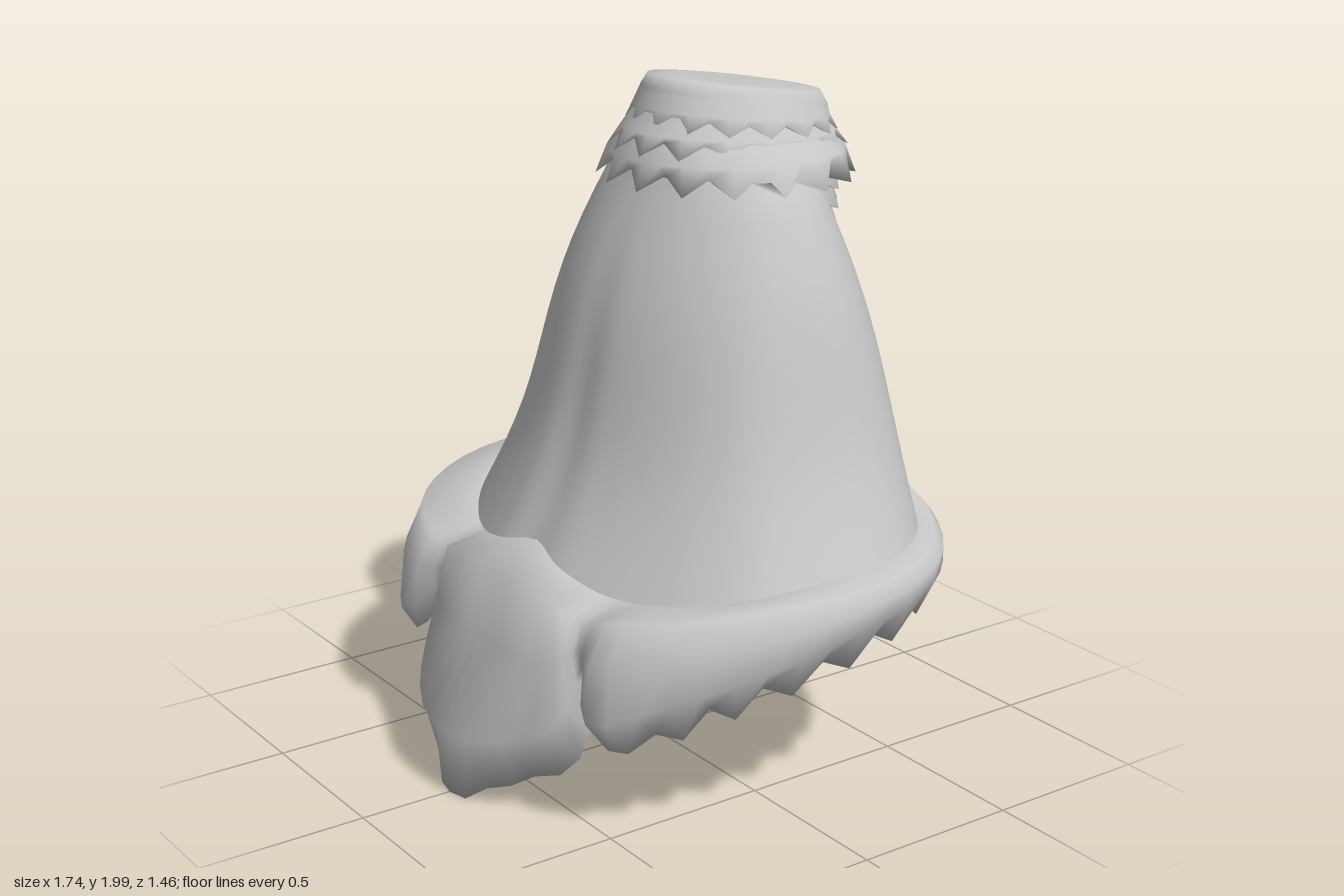
import * as THREE from 'three';

const V = (x, y, z) => new THREE.Vector3(x, y, z);

// Surface through rows of points running left to right, top row first
function grid(rows, closed) {
  const n = rows[0].length, index = [];
  for (let r = 0; r < rows.length - 1; r++) {
    for (let c = 0; c < (closed ? n : n - 1); c++) {
      const a = r * n + c, b = r * n + (c + 1) % n;
      index.push(a, a + n, b, b, a + n, b + n);
    }
  }
  const geo = new THREE.BufferGeometry().setFromPoints(rows.flat());
  geo.setIndex(index);
  geo.computeVertexNormals();
  return geo;
}

// Half outlines from front centre round the left side to the back
const CREASE = [[0, .71, .41], [.13, .68, .43], [.26, .65, .41], [.34, .64, .385], [.44, .64, .34], [.56, .66, .26],
  [.68, .69, .13], [.74, .72, -.08], [.74, .73, -.28], [.65, .74, -.45], [.51, .76, -.56], [.41, .81, -.6],
  [.28, .67, -.665], [.12, .57, -.725], [0, .55, -.73]];
const SHOULDER = [[0, .66, .56], [.15, .66, .56], [.28, .63, .54], [.36, .6, .5], [.48, .64, .5], [.65, .67, .4],
  [.78, .7, .19], [.84, .71, -.08], [.8, .72, -.31], [.69, .73, -.48], [.52, .76, -.6], [.41, .81, -.6]];
const MIDDLE = [[0, .46, .6], [.16, .46, .6], [.32, .48, .56], [.365, .52, .51], [.49, .53, .56], [.68, .56, .43],
  [.81, .62, .2], [.87, .67, -.08], [.82, .69, -.33], [.71, .71, -.5], [.52, .74, -.62], [.41, .805, -.605]];
const BELLY = [[0, .2, .73], [.16, .22, .71], [.35, .3, .59], [.365, .47, .5], [.5, .37, .58], [.68, .45, .43],
  [.81, .53, .2], [.865, .61, -.08], [.82, .64, -.33], [.71, .67, -.5], [.52, .72, -.61], [.41, .8, -.605]];
const EDGE = [[0, .005, .72], [.19, .09, .63], [.32, .17, .48], [.36, .46, .46], [.52, .285, .52], [.66, .39, .37],
  [.76, .47, .18], [.81, .54, -.08], [.77, .59, -.32], [.67, .64, -.47], [.51, .71, -.58], [.41, .8, -.6]];
const STEPS = 3;

// Mirrored smooth outline; the closed one starts at front centre
function outline(half, closed) {
  const left = half.map(p => V(...p));
  const right = left.map(p => V(-p.x, p.y, p.z)).reverse();
  const pts = closed ? [...left, ...right.slice(1, -1)] : [...right, ...left.slice(1)];
  const curve = new THREE.CatmullRomCurve3(pts, closed);
  const count = (closed ? pts.length : pts.length - 1) * STEPS;
  return Array.from({ length: closed ? count : count + 1 }, (_, i) => curve.getPoint(i / count));
}

// Flared bell from the neck down to the crease and the back flap
function bell() {
  const base = outline(CREASE, true), rows = [];
  const angle = p => Math.atan2(p.x / .75, (p.z + .14) / .59);
  const ring = (rx, rz, y) => base.map(p => V(Math.sin(angle(p)) * rx, y, -.2 + Math.cos(angle(p)) * rz));
  rows.push(ring(.26, .2, 1.82));
  const neck = ring(.37, .26, 1.7);
  for (let i = 0; i <= 14; i++) {
    const t = i / 14;
    rows.push(neck.map((p, j) => {
      const back = Math.max(0, -Math.cos(angle(base[j])));
      const bulge = .045 * back * Math.sin(Math.PI * t) + .022 * (1 - back) * Math.sin(2 * Math.PI * t);
      const out = V(p.x, 0, p.z + .2).normalize();
      return p.clone().lerp(base[j], t).addScaledVector(out, bulge);
    }));
  }
  return grid(rows, true);
}

// Thick drooping lobes with a toothed hem and an inner wall
function lip() {
  const crease = outline(CREASE.slice(0, 12)), edge = outline(EDGE), mid = (edge.length - 1) / 2;
  const wall = t => edge.map((p, j) => p.clone().lerp(crease[j], t));
  const walls = [wall(.3), wall(.65), wall(1)];
  edge.forEach((p, j) => {
    const k = Math.abs(j - mid);
    if (k % 2 && k < mid - 1) p.y -= k > 4.5 * STEPS ? .06 : .015;
  });
  return grid([crease, outline(SHOULDER), outline(MIDDLE), outline(BELLY), edge, ...walls], false);
}

// Oval ring of the cap: tilt lowers the back, zig makes points
function oval(rx, rz, y, cz = -.28, tilt = .15, zig = 0) {
  const n = 32;
  return Array.from({ length: n }, (_, i) => {
    const a = i / n * Math.PI * 2, s = 1 + (i % 2 ? zig : -zig);
    const z = Math.cos(a) * rz * s;
    return V(Math.sin(a) * rx * s, y + z * tilt - (i % 2 ? zig * .4 : -zig * .4), cz + z);
  });
}

// One row of pointed scales wrapped over the ridge on the back of the bell
function scaleRow(k) {
  const w = .25 * (1 - k / 8.5), top = 1.76 - k * .064, n = 8;
  const row = (drop, ridge, zig) => Array.from({ length: n + 1 }, (_, i) => {
    const x = w * (1 - 2 * i / n), y = top - drop - (i % 2 ? zig : 0);
    const side = -.46 - .33 * (1.7 - y) + x * x * 1.2;
    const z = THREE.MathUtils.lerp(ridge, side, Math.pow(Math.abs(x) / w, 1.5));
    return V(x, y, z - (i % 2 ? zig * .5 : 0));
  });
  return grid([row(0, -.57, 0), row(.04, -.6, 0), row(.08, -.62, .035), row(.07, -.57, 0)], false);
}

export function createModel() {
  const group = new THREE.Group();
  const grey = new THREE.MeshStandardMaterial({ color: 0xc6c6c6, side: THREE.DoubleSide });
  grey.name = 'pale grey';
  const add = (name, geo, parent = group) => {
    const mesh = new THREE.Mesh(geo, grey);
    mesh.name = name;
    parent.add(mesh);
  };

  add('bell', bell());
  add('lip', lip());

  // Stem cap with its overlapping ruffles
  const cap = new THREE.Group();
  cap.name = 'cap';
  group.add(cap);
  add('capTop', grid([oval(.0005, .0005, 1.962), oval(.15, .2, 1.962), oval(.2, .27, 1.957), oval(.225, .29, 1.92),
    oval(.25, .3, 1.84, -.27, .1)], true), cap);
  add('upperRuffle', grid([oval(.22, .285, 1.93), oval(.25, .3, 1.88, -.27, .1),
    oval(.265, .31, 1.85, -.27, .08, .04), oval(.25, .29, 1.86, -.27, .1)], true), cap);
  add('middleRuffle', grid([oval(.245, .3, 1.87, -.27, .1), oval(.275, .325, 1.83, -.26, .05),
    oval(.295, .345, 1.8, -.26, .03, .05), oval(.28, .31, 1.81, -.26, .03)], true), cap);
  add('skirtRuffle', grid([oval(.27, .31, 1.83, -.26, .05), oval(.34, .345, 1.775, -.25, 0),
    oval(.36, .35, 1.72, -.25, 0, .06), oval(.345, .27, 1.735, -.21, 0)], true), cap);

  // Tapering tail of scales down the back
  const tail = new THREE.Group();
  tail.name = 'scaleTail';
  group.add(tail);
  for (let k = 0; k < 8; k++) add('scaleRow', scaleRow(k), tail);

  return group;
}
